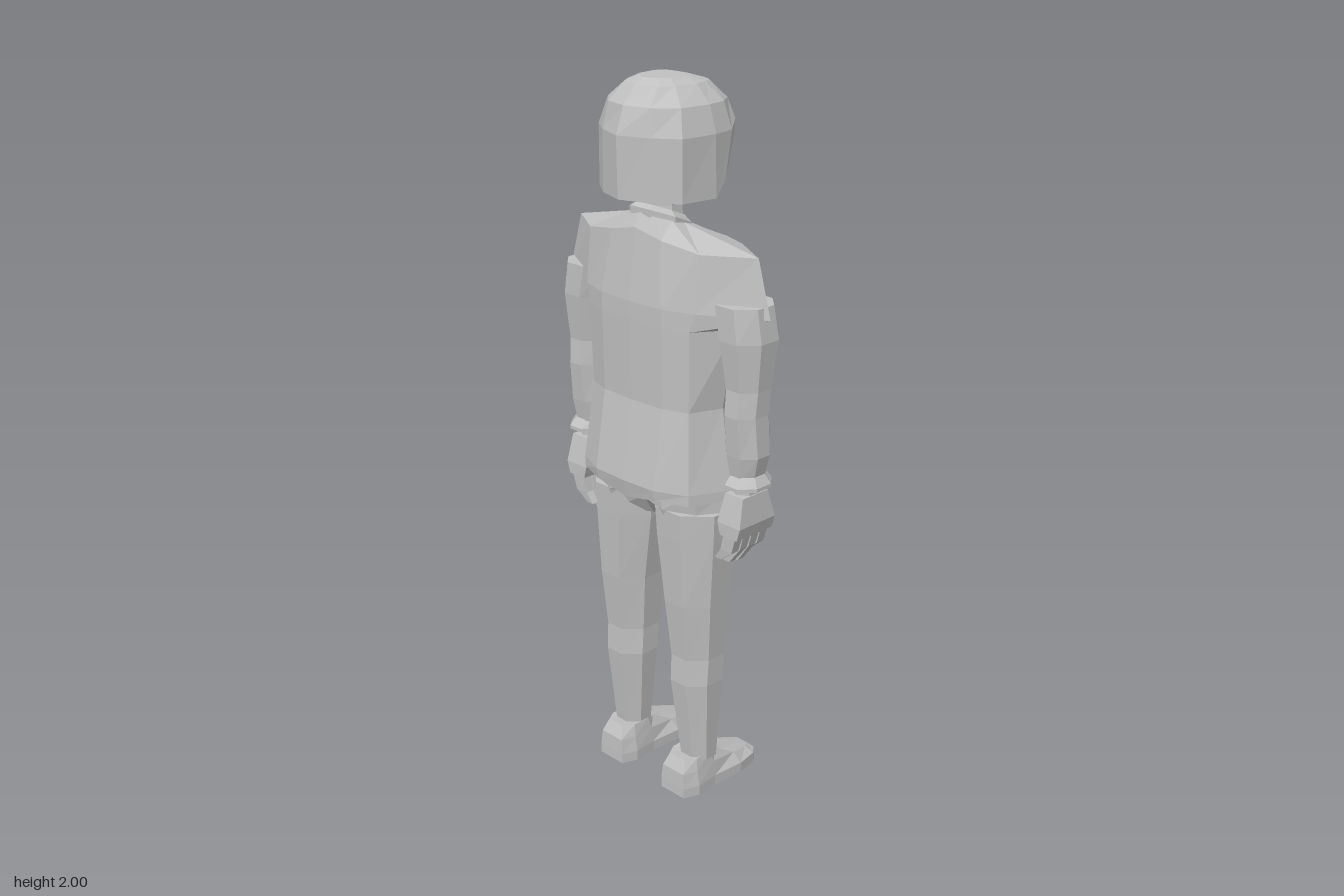
import * as THREE from 'three';

const grey = new THREE.MeshStandardMaterial({ color: 0xc0c0c0, flatShading: true, side: THREE.DoubleSide });
grey.name = 'light grey';

// Skin a stack of closed rings (bottom to top, counter-clockwise from above)
function loft(name, rings, capBottom = true, capTop = true) {
  const out = [];
  const n = rings[0].length;
  for (let i = 0; i < rings.length - 1; i++) {
    for (let j = 0; j < n; j++) {
      const k = (j + 1) % n;
      const a = rings[i][j], b = rings[i][k], c = rings[i + 1][k], d = rings[i + 1][j];
      out.push(...a, ...b, ...c, ...a, ...c, ...d);
    }
  }
  const cap = (r, up) => {
    const m = [0, 1, 2].map(q => r.reduce((s, p) => s + p[q], 0) / n);
    for (let j = 0; j < n; j++) {
      const p = r[j], q = r[(j + 1) % n];
      out.push(...m, ...(up ? p : q), ...(up ? q : p));
    }
  };
  if (capBottom) cap(rings[0], false);
  if (capTop) cap(rings[rings.length - 1], true);
  const g = new THREE.BufferGeometry();
  g.setAttribute('position', new THREE.Float32BufferAttribute(out, 3));
  g.computeVertexNormals();
  const mesh = new THREE.Mesh(g, grey);
  mesh.name = name;
  return mesh;
}

// Regular ring fitted to a rectangle x0..x1, z0..z1
function ring(y, x0, x1, z0, z1, n = 8) {
  const k = 0.5 / Math.cos(Math.PI / n);
  return Array.from({ length: n }, (_, i) => {
    const t = (i + 0.5) * 2 * Math.PI / n;
    return [(x0 + x1) / 2 + (x1 - x0) * k * Math.cos(t), y, (z0 + z1) / 2 - (z1 - z0) * k * Math.sin(t)];
  });
}

// Symmetric ring from half a section [x, z, y?], listed from +z round to -z
function half(y, pts, cx = 0) {
  const right = pts.map(([x, z, py]) => [cx + x, py ?? y, z]);
  const left = pts.filter(p => p[0] > 0).reverse().map(([x, z, py]) => [cx - x, py ?? y, z]);
  return right.concat(left);
}

// Mirror rings across x = 0, keeping their winding
const sided = (s, rings) => s > 0 ? rings : rings.map(r => r.map(([x, y, z]) => [-x, y, z]).reverse());

export function createModel() {
  const model = new THREE.Group();
  model.name = 'standingFigure';
  const add = (name, rings, b, t) => model.add(loft(name, rings, b, t));

  // Jacket with wide shoulders and a recessed front strip
  add('jacket', [
    half(0.92, [[0, 0.165, 0.9], [0.11, 0.165], [0.2, 0.13], [0.25, 0.02], [0.2, -0.08], [0.12, -0.1], [0.05, -0.108], [0.045, -0.092], [0, -0.092]]),
    half(0.95, [[0, 0.175], [0.11, 0.17], [0.2, 0.13], [0.25, 0.02], [0.2, -0.08], [0.12, -0.1], [0.05, -0.11], [0.045, -0.094], [0, -0.094]]),
    half(1.17, [[0, 0.14], [0.11, 0.135], [0.18, 0.11], [0.215, 0.02], [0.18, -0.08], [0.12, -0.11], [0.05, -0.122], [0.045, -0.105], [0, -0.105]]),
    half(1.39, [[0, 0.145], [0.11, 0.14], [0.185, 0.115], [0.25, 0.015], [0.19, -0.1], [0.12, -0.14], [0.05, -0.155], [0.045, -0.137], [0, -0.137]]),
    half(1.44, [[0, 0.145], [0.11, 0.14], [0.2, 0.11], [0.368, 0.015], [0.2, -0.1], [0.12, -0.135], [0.05, -0.145], [0.045, -0.13], [0, -0.13]]),
    half(1.59, [[0, 0.125, 1.63], [0.09, 0.12, 1.61], [0.2, 0.095], [0.325, 0.015], [0.2, -0.06], [0.12, -0.09], [0.05, -0.1], [0.045, -0.09], [0, -0.09]]),
    half(1.64, [[0, 0.105, 1.665], [0.05, 0.1, 1.66], [0.08, 0.07, 1.65], [0.085, 0.03], [0.075, -0.01, 1.63], [0.055, -0.03, 1.62], [0.03, -0.04, 1.61], [0.025, -0.035, 1.61], [0, -0.035, 1.61]]),
  ]);
  // Tilted collar and neck
  const tilt = r => r.map(([x, y, z]) => [x, y + z * 0.4, z]);
  add('collar', [
    tilt(ring(1.615, -0.085, 0.085, -0.035, 0.105)),
    tilt(ring(1.635, -0.085, 0.085, -0.035, 0.105)),
    tilt(ring(1.65, -0.065, 0.065, -0.02, 0.09)),
  ]);
  add('neck', [ring(1.6, -0.06, 0.06, -0.025, 0.08), ring(1.68, -0.052, 0.052, -0.02, 0.07), ring(1.78, -0.055, 0.055, -0.03, 0.07)]);

  // Head with narrowing jaw
  add('head', [
    half(1.675, [[0, 0.0, 1.72], [0.04, 0.0, 1.715], [0.06, -0.03, 1.7], [0.045, -0.08], [0.022, -0.108], [0, -0.112]]),
    half(1.71, [[0, 0.07, 1.73], [0.06, 0.06, 1.73], [0.085, -0.02, 1.725], [0.065, -0.085], [0.03, -0.115], [0, -0.118]]),
    half(1.78, [[0, 0.12], [0.09, 0.1], [0.115, 0], [0.095, -0.08], [0.045, -0.113], [0, -0.12]]),
    half(1.82, [[0, 0.14], [0.1, 0.11], [0.12, 0], [0.1, -0.08], [0.045, -0.108], [0, -0.118]]),
    half(1.86, [[0, 0.14], [0.1, 0.11], [0.125, 0], [0.1, -0.09], [0.045, -0.122], [0, -0.128]]),
    half(1.93, [[0, 0.11], [0.08, 0.09], [0.1, 0], [0.08, -0.07], [0.045, -0.1], [0, -0.105]]),
  ]);
  add('nose', [
    half(1.765, [[0, -0.1], [0.022, -0.11], [0.014, -0.135], [0, -0.142]]),
    half(1.778, [[0, -0.1], [0.024, -0.11], [0.013, -0.14], [0, -0.152]]),
    half(1.845, [[0, -0.1], [0.01, -0.11], [0.008, -0.124], [0, -0.129]]),
  ]);
  add('lips', [
    half(1.72, [[0, -0.1], [0.03, -0.1], [0.02, -0.12], [0, -0.124]]),
    half(1.735, [[0, -0.1], [0.038, -0.105], [0.02, -0.127], [0, -0.132]]),
    half(1.75, [[0, -0.1], [0.03, -0.105], [0.02, -0.122], [0, -0.128]]),
  ]);

  // Helmet-shaped hair, open at the bottom and over the face
  add('hair', [
    half(1.71, [[0, 0.182], [0.085, 0.152], [0.15, 0.105], [0.165, 0.0], [0.158, -0.04, 1.75], [0.125, -0.105, 1.85], [0.07, -0.132, 1.875], [0, -0.14, 1.88]]),
    half(1.87, [[0, 0.185], [0.085, 0.152], [0.15, 0.105], [0.162, 0.0], [0.15, -0.07], [0.122, -0.112, 1.89], [0.07, -0.135, 1.9], [0, -0.14, 1.9]]),
    half(1.94, [[0, 0.16], [0.075, 0.14], [0.13, 0.09], [0.14, 0], [0.13, -0.06], [0.1, -0.105], [0.06, -0.125], [0, -0.13]]),
    half(1.985, [[0, 0.12], [0.06, 0.1], [0.085, 0.065], [0.095, 0], [0.085, -0.04], [0.07, -0.07], [0.04, -0.085], [0, -0.09]]),
    half(2.0, [[0, 0.09], [0.035, 0.075], [0.055, 0.05], [0.06, 0], [0.055, -0.02], [0.045, -0.03], [0.025, -0.035], [0, -0.035]]),
  ], false);

  // Trouser hips
  add('hips', [
    half(0.82, [[0, 0.06], [0.1, 0.11], [0.19, 0.08], [0.228, 0.015], [0.19, -0.06], [0.1, -0.08], [0, -0.04]]),
    half(0.88, [[0, 0.1], [0.1, 0.13], [0.19, 0.09], [0.235, 0.015], [0.19, -0.07], [0.1, -0.095], [0, -0.08]]),
    half(0.94, [[0, 0.13], [0.1, 0.13], [0.19, 0.1], [0.235, 0.015], [0.19, -0.07], [0.1, -0.09], [0, -0.088]]),
  ]);

  for (const s of [1, -1]) {
    const side = s > 0 ? 'left' : 'right';
    const put = (name, rings) => add(side + name, sided(s, rings));

    // Leg and shoe
    put('TrouserLeg', [
      ring(0.1, 0.083, 0.185, -0.03, 0.065), ring(0.35, 0.058, 0.2, -0.05, 0.095),
      ring(0.43, 0.058, 0.2, -0.06, 0.092), ring(0.6, 0.042, 0.212, -0.075, 0.11),
      ring(0.8, 0.012, 0.226, -0.088, 0.122), ring(0.88, 0.005, 0.23, -0.09, 0.125),
    ]);
    put('Shoe', [
      half(0, [[0.045, 0.115], [0.063, 0.07], [0.058, 0], [0.066, -0.1], [0.055, -0.165], [0.035, -0.19]], 0.127),
      half(0.03, [[0.045, 0.115], [0.063, 0.07], [0.058, 0], [0.066, -0.1], [0.055, -0.165], [0.035, -0.19]], 0.127),
      half(0.075, [[0.04, 0.113], [0.055, 0.07], [0.052, 0], [0.045, -0.09, 0.062], [0.035, -0.15, 0.05], [0.02, -0.175, 0.045]], 0.127),
      half(0.11, [[0.03, 0.095], [0.047, 0.065], [0.047, 0.01], [0.035, -0.02, 0.1], [0.025, -0.035, 0.092], [0.015, -0.045, 0.088]], 0.127),
    ]);

    // Sleeve with flared cuff
    put('Sleeve', [
      ring(1.0, 0.253, 0.335, -0.038, 0.055), ring(1.07, 0.24, 0.352, -0.045, 0.065),
      ring(1.18, 0.242, 0.347, -0.045, 0.075), ring(1.25, 0.24, 0.35, -0.05, 0.07),
      ring(1.38, 0.22, 0.362, -0.072, 0.085), ring(1.47, 0.2, 0.35, -0.06, 0.085),
    ]);
    put('Cuff', [ring(0.98, 0.245, 0.355, -0.055, 0.075), ring(0.99, 0.245, 0.355, -0.055, 0.075), ring(1.015, 0.255, 0.34, -0.035, 0.055)]);

    // Hand with four bent fingers and a thumb
    put('Wrist', [ring(0.95, 0.265, 0.325, -0.02, 0.045, 6), ring(1.0, 0.265, 0.325, -0.02, 0.045, 6)]);
    put('Palm', [
      ring(0.845, 0.265, 0.325, -0.058, 0.078, 4),
      ring(0.88, 0.255, 0.335, -0.058, 0.078, 4), ring(0.96, 0.265, 0.328, -0.035, 0.06, 4),
    ]);
    for (let f = 0; f < 4; f++) {
      const z = -0.054 + f * 0.033, tip = [0.765, 0.745, 0.75, 0.77][f];
      put('Finger' + (f + 1), [
        ring(tip, 0.24, 0.262, z + 0.005, z + 0.025, 4),
        ring(0.8, 0.262, 0.302, z + 0.002, z + 0.028, 4), ring(0.86, 0.278, 0.32, z, z + 0.03, 4),
      ]);
    }
    put('Thumb', [
      ring(0.845, 0.232, 0.258, -0.09, -0.06, 4),
      ring(0.89, 0.24, 0.28, -0.09, -0.05, 4), ring(0.945, 0.265, 0.305, -0.06, -0.02, 4),
    ]);

    // Brow and eye
    put('Brow', [
      ring(1.843, 0.018, 0.08, -0.122, -0.08, 4), ring(1.858, 0.022, 0.075, -0.127, -0.08, 4),
    ]);
    put('Eye', [ring(1.812, 0.035, 0.055, -0.113, -0.09, 6), ring(1.82, 0.025, 0.066, -0.117, -0.09, 6), ring(1.83, 0.035, 0.055, -0.113, -0.09, 6)]);
  }
  return model;
}
